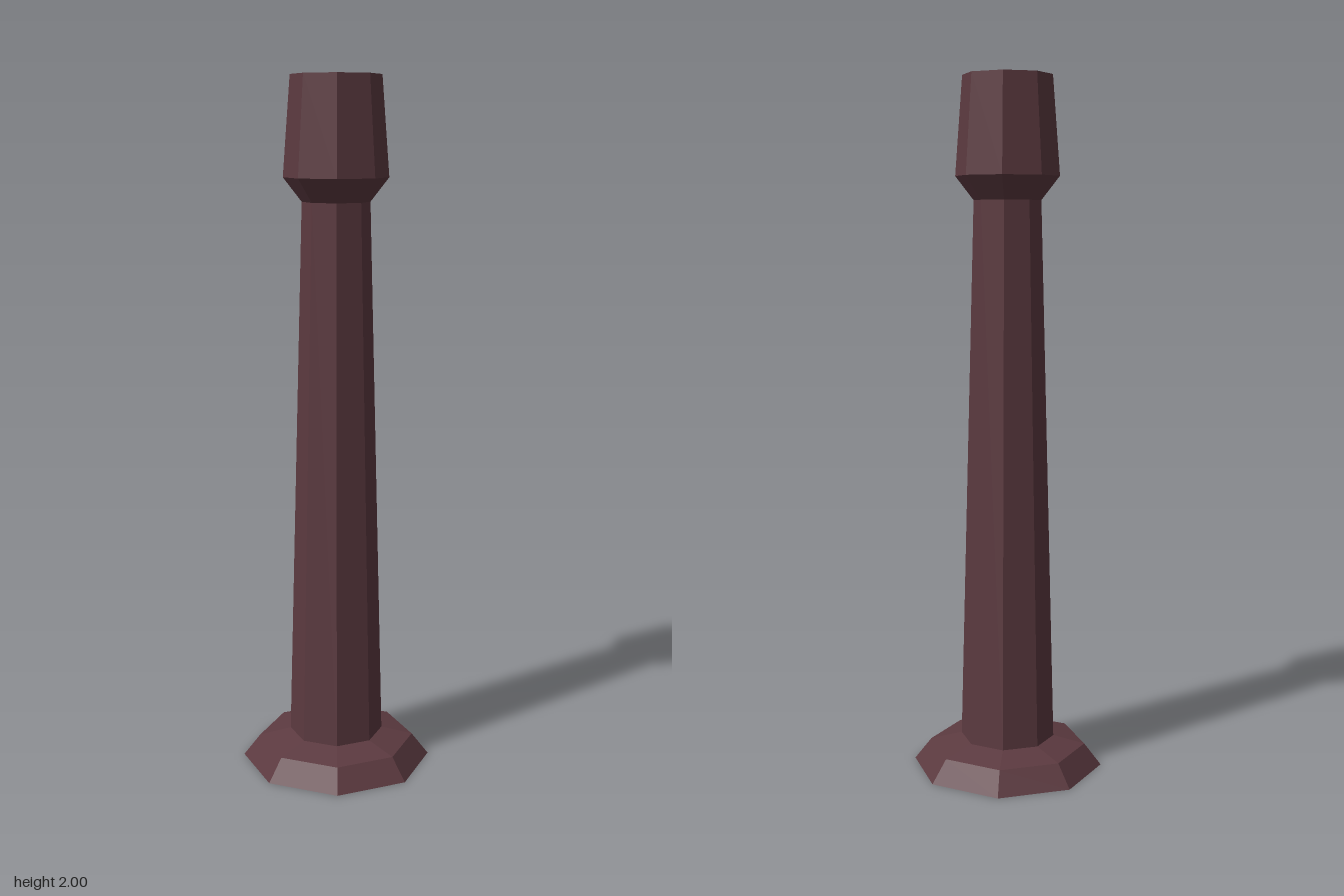
import * as THREE from 'three';

const SIDES = 8;

// Eight-sided turned part from [radius, height] points, listed bottom to top
function turned(name, profile, material) {
  const points = profile.map(([r, y]) => new THREE.Vector2(r, y));
  const mesh = new THREE.Mesh(new THREE.LatheGeometry(points, SIDES), material);
  mesh.name = name;
  return mesh;
}

export function createModel() {
  const group = new THREE.Group();
  group.name = 'post';
  const material = new THREE.MeshStandardMaterial({ color: 0x5c3a40, flatShading: true });

  group.add(
    // Bevelled foot with closed underside
    turned('base', [[0, 0], [0.278, 0], [0.229, 0.063], [0.137, 0.086]], material),
    // Tapering column
    turned('shaft', [[0.137, 0.086], [0.096, 1.655]], material),
    // Flared head with flat top
    turned('head', [[0.096, 1.655], [0.148, 1.722], [0.127, 2], [0, 2]], material),
  );
  return group;
}
